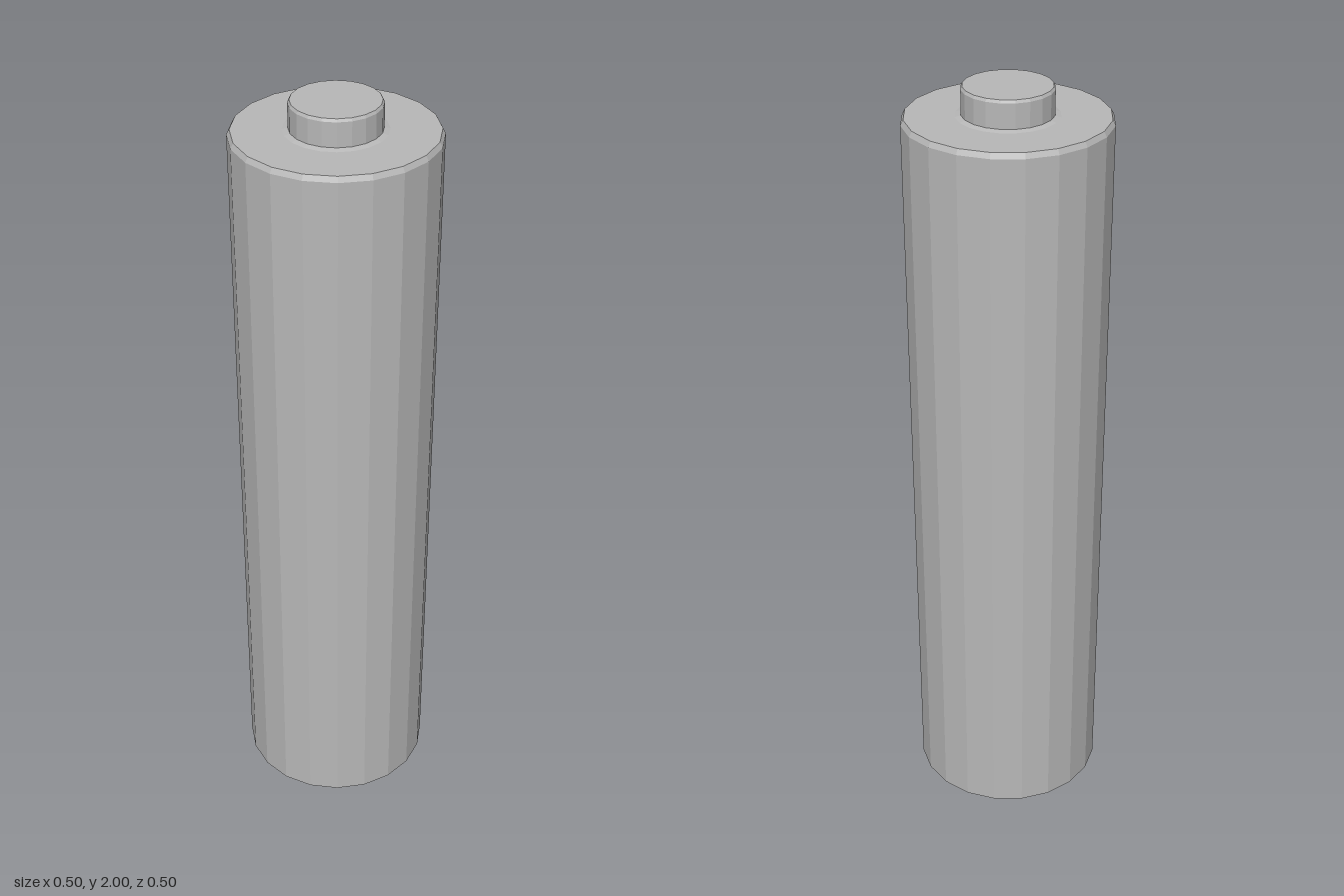
import * as THREE from 'three';

const SIDES = 20;

export function createModel() {
  const group = new THREE.Group();
  group.name = 'battery';
  const grey = new THREE.MeshStandardMaterial({ color: 0xb8b8b8, flatShading: true });
  grey.name = 'grey metal';

  // Turned part from [radius, height] points, listed bottom to top
  const turned = (name, profile) => {
    const points = profile.map(([r, y]) => new THREE.Vector2(r, y));
    const mesh = new THREE.Mesh(new THREE.LatheGeometry(points, SIDES), grey);
    mesh.name = name;
    group.add(mesh);
  };

  // Slightly tapered casing with a bevelled base and a fine top bevel
  turned('casing', [
    [0, 0], [0.208, 0], [0.246, 0.035], [0.252, 1.915],
    [0.245, 1.928], [0.125, 1.928], [0.111, 1.932],
  ]);

  // Raised contact on top
  turned('topTerminal', [
    [0.111, 1.932], [0.111, 1.993], [0.107, 2], [0, 2],
  ]);

  return group;
}
